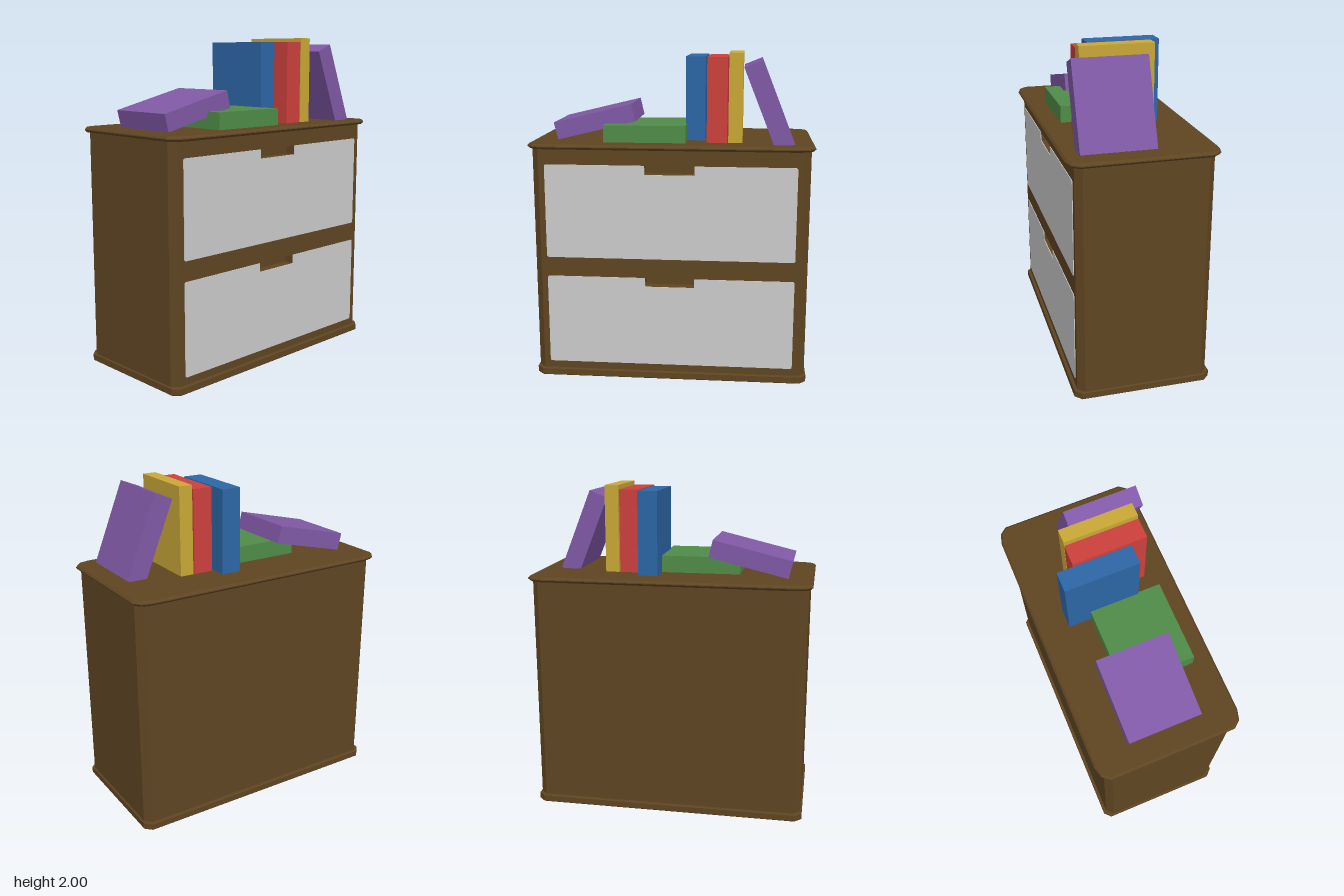
import * as THREE from 'three';

const paint = (name, color) => {
  const m = new THREE.MeshStandardMaterial({ color });
  m.name = name;
  return m;
};

const polygon = (points) => new THREE.Shape(points.map(([x, y]) => new THREE.Vector2(x, y)));

// Symmetric plan outline from the points of one corner, listed from the side (+x) to the back;
// an optional finger notch is cut in the front edge
function plan(corner, notch) {
  const back = [...corner].reverse();
  const front = corner.map(([x, y]) => [x, -y]);
  const points = [
    ...corner,
    ...back.map(([x, y]) => [-x, y]),
    ...front.map(([x, y]) => [-x, y]),
  ];
  if (notch) {
    const y = front.at(-1)[1];
    const { half, depth } = notch;
    points.push([-half, y], [-half, y + depth], [half, y + depth], [half, y]);
  }
  return polygon([...points, ...front.reverse()]);
}

// Horizontal slab between two heights, with an optional chamfered rim
function slab(shape, y0, y1, bevel = 0) {
  const geometry = new THREE.ExtrudeGeometry(shape, {
    depth: y1 - y0 - 2 * bevel,
    bevelEnabled: bevel > 0,
    bevelSize: bevel,
    bevelThickness: bevel,
    bevelOffset: -bevel,
    bevelSegments: 1,
  });
  return geometry.rotateX(-Math.PI / 2).translate(0, y0 + bevel, 0);
}

export function createModel() {
  const model = new THREE.Group();
  model.name = 'dresserWithBooks';

  const wood = paint('darkWood', 0x5f4522);
  const grey = paint('drawerGrey', 0xcccccc);
  const blue = paint('bookBlue', 0x2c66a6);
  const red = paint('bookRed', 0xcc403c);
  const yellow = paint('bookYellow', 0xc9a836);
  const green = paint('bookGreen', 0x4f8c47);
  const purple = paint('bookPurple', 0x8059a6);

  const add = (parent, name, geometry, material) => {
    const mesh = new THREE.Mesh(geometry, material);
    mesh.name = name;
    parent.add(mesh);
    return mesh;
  };

  // Cabinet body, stacked in layers so the drawer pulls are real recesses
  const body = new THREE.Group();
  body.name = 'cabinetBody';
  model.add(body);
  const corner = [[0.832, 0.36], [0.792, 0.4]];
  const solid = plan(corner);
  const notched = plan(corner, { half: 0.15, depth: 0.06 });
  const levels = [0.03, 0.595, 0.65, 1.29, 1.345, 1.45];
  for (let i = 0; i < 5; i++) {
    const pull = i % 2 === 1;
    add(body, pull ? 'pullLayer' : 'bodyLayer', slab(pull ? notched : solid, levels[i], levels[i + 1]), wood);
  }

  // Base plinth and rounded table top
  add(model, 'base', slab(plan([[0.842, 0.38], [0.802, 0.42]]), 0, 0.045, 0.004), wood);
  const topCorner = [[0.855, 0.38], [0.82, 0.424], [0.755, 0.442]];
  add(model, 'tableTop', slab(plan(topCorner), 1.44, 1.47, 0.012), wood);

  // Drawer fronts: thin plates with a cut-out at the pull and tiny nicked corners
  for (const [y0, y1] of [[0.09, 0.65], [0.77, 1.345]]) {
    const w = 0.755, c = 0.008, pull = 0.15, low = y1 - 0.055;
    const face = polygon([
      [-w + c, y0], [w - c, y0], [w, y0 + c], [w, y1 - c], [w - c, y1],
      [pull, y1], [pull, low], [-pull, low], [-pull, y1],
      [-w + c, y1], [-w, y1 - c], [-w, y0 + c],
    ]);
    const plate = new THREE.ExtrudeGeometry(face, { depth: 0.005, bevelEnabled: false });
    add(model, 'drawerFront', plate.translate(0, 0, 0.399), grey);
  }

  // Books: size, centre, tilt about z
  const books = new THREE.Group();
  books.name = 'books';
  model.add(books);
  const book = (name, material, [w, h], [x, y, z], tilt = 0) => {
    const mesh = add(books, name, new THREE.BoxGeometry(w, h, 0.44), material);
    mesh.position.set(x, y, z);
    mesh.rotation.z = tilt;
  };
  book('blueBook', blue, [0.12, 0.51], [0.139, 1.72, -0.038]);
  book('redBook', red, [0.122, 0.51], [0.273, 1.72, 0.06]);
  book('yellowBook', yellow, [0.084, 0.535], [0.383, 1.7325, 0.06]);
  book('greenBook', green, [0.495, 0.105], [-0.16, 1.52, 0.1]);
  book('lyingPurpleBook', purple, [0.494, 0.108], [-0.478, 1.58, 0], 0.236);
  book('leaningPurpleBook', purple, [0.118, 0.523], [0.583, 1.697, 0.132], 0.382);

  return model;
}
